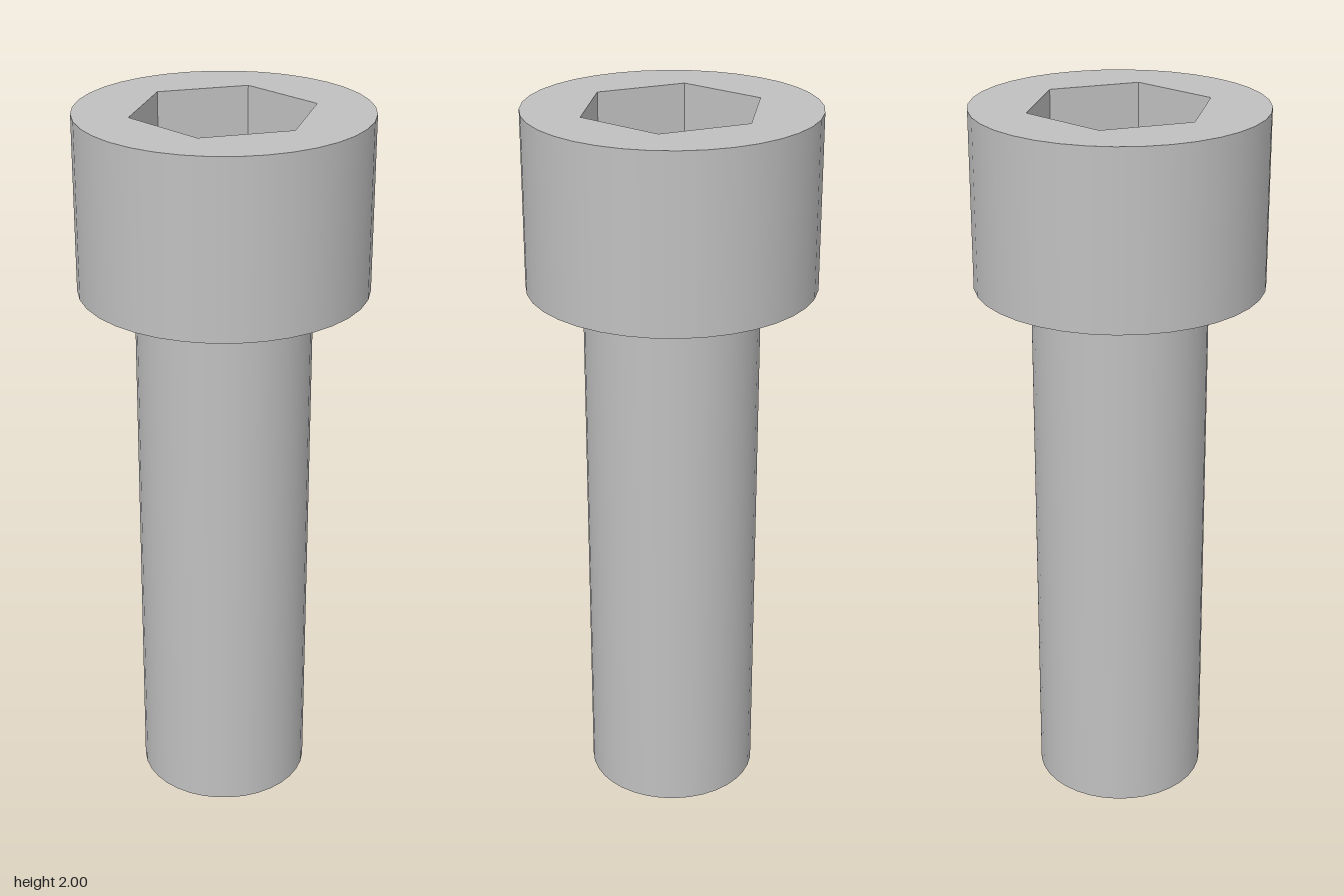
import * as THREE from 'three';

const SEGMENTS = 36;
const HEAD_RADIUS = 0.393, HEAD_BOTTOM = 1.52, TOP = 2;
const SHAFT_RADIUS = 0.24;
const HEX_RADIUS = 0.25, HEX_DEPTH = 0.29;

// Points of a regular polygon with a corner on +x
function polygon(radius, sides) {
  return Array.from({ length: sides }, (_, i) => {
    const a = (i / sides) * Math.PI * 2;
    return new THREE.Vector2(radius * Math.cos(a), radius * Math.sin(a));
  });
}

export function createModel() {
  const group = new THREE.Group();
  group.name = 'socketHeadBolt';
  const steel = new THREE.MeshStandardMaterial({ color: 0xc0c0c0 });
  steel.name = 'steel grey';

  const add = (name, geometry, y, parent = group) => {
    const mesh = new THREE.Mesh(geometry, steel);
    mesh.name = name;
    mesh.position.y = y;
    parent.add(mesh);
  };

  // Head: smooth wall, top face with a hexagonal opening, flat underside
  const head = new THREE.Group();
  head.name = 'head';
  group.add(head);
  const headHeight = TOP - HEAD_BOTTOM;
  add('headWall', new THREE.CylinderGeometry(HEAD_RADIUS, HEAD_RADIUS, headHeight, SEGMENTS, 1, true),
    HEAD_BOTTOM + headHeight / 2, head);
  const topShape = new THREE.Shape(polygon(HEAD_RADIUS, SEGMENTS));
  topShape.holes.push(new THREE.Path(polygon(HEX_RADIUS, 6)));
  add('headTop', new THREE.ShapeGeometry(topShape).rotateX(-Math.PI / 2), TOP, head);
  add('headUnderside', new THREE.RingGeometry(SHAFT_RADIUS, HEAD_RADIUS, SEGMENTS).rotateX(Math.PI / 2),
    HEAD_BOTTOM, head);

  // Hex socket: mirrored prism so its faces point inward, plus a floor
  const socket = new THREE.Group();
  socket.name = 'hexSocket';
  group.add(socket);
  const walls = new THREE.CylinderGeometry(HEX_RADIUS, HEX_RADIUS, HEX_DEPTH, 6, 1, true, Math.PI / 2)
    .scale(-1, 1, 1).toNonIndexed();
  walls.computeVertexNormals();
  add('socketWalls', walls, TOP - HEX_DEPTH / 2, socket);
  add('socketFloor', new THREE.CircleGeometry(HEX_RADIUS, 6).rotateX(-Math.PI / 2), TOP - HEX_DEPTH, socket);

  // Shaft: smooth wall with a closed lower end
  const shaft = new THREE.Group();
  shaft.name = 'shaft';
  group.add(shaft);
  add('shaftWall', new THREE.CylinderGeometry(SHAFT_RADIUS, SHAFT_RADIUS, HEAD_BOTTOM, SEGMENTS, 1, true),
    HEAD_BOTTOM / 2, shaft);
  add('shaftEnd', new THREE.CircleGeometry(SHAFT_RADIUS, SEGMENTS).rotateX(Math.PI / 2), 0, shaft);

  return group;
}
